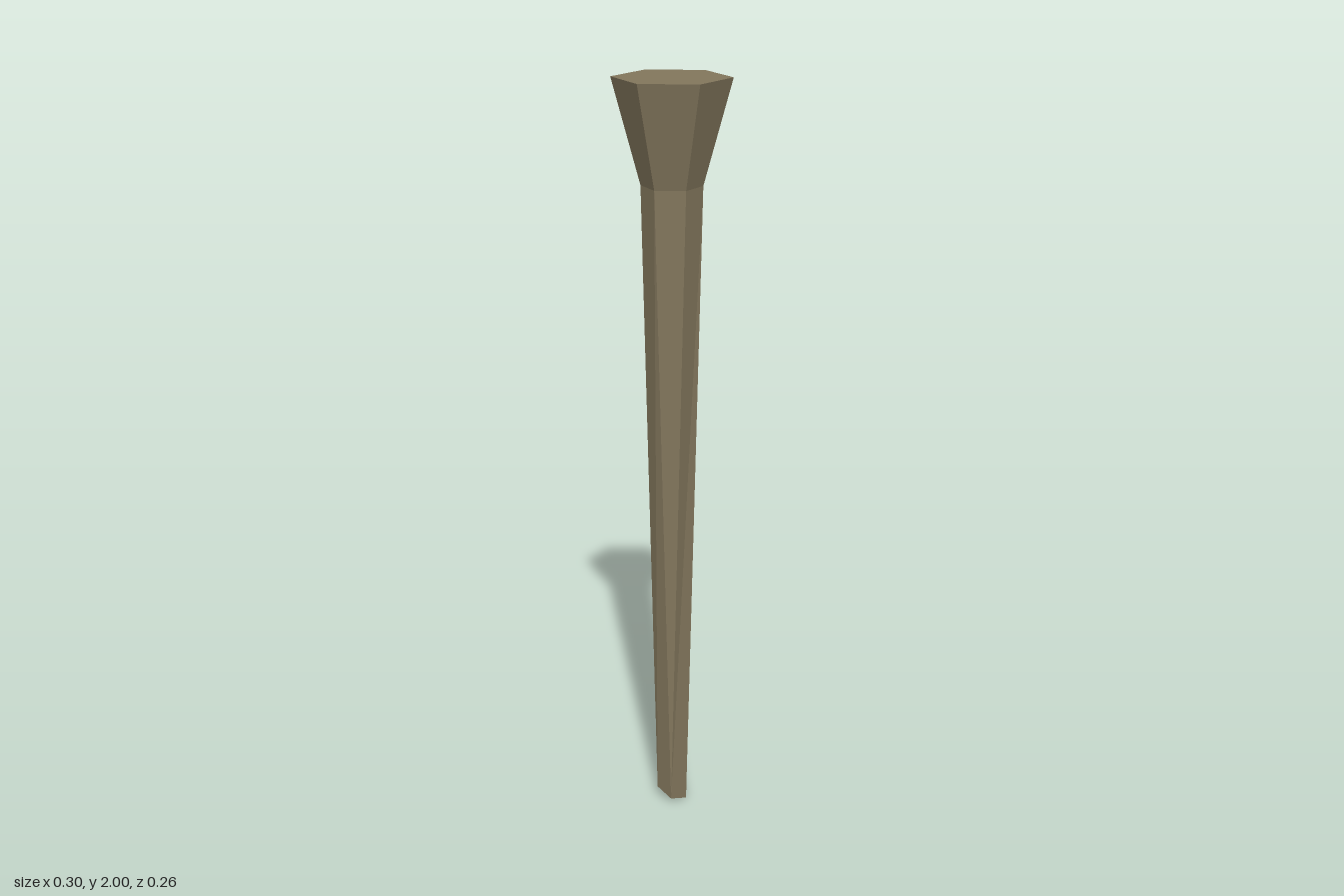
import * as THREE from 'three';

const NECK_Y = 1.735, TOP_Y = 2;
const NECK_R = 0.078, TOP_R = 0.15;

// Tapering shaft: six-sided neck blending into a slanted four-sided tip.
function shaftGeometry() {
  const neck = [];
  for (let k = 0; k < 6; k++) {
    const a = (k * Math.PI) / 3;
    neck.push([NECK_R * Math.cos(a), NECK_Y, -NECK_R * Math.sin(a)]);
  }
  const tip = [[0.04, 0, 0], [0, 0.016, -0.035], [-0.04, 0.033, 0], [0, 0.016, 0.035]];
  const points = [...neck, ...tip]; // 0-5 neck, 6-9 tip
  const faces = [
    7, 1, 0, 6, 7, 0, // back right
    7, 2, 1, // back
    7, 8, 2, 8, 3, 2, // back left
    8, 4, 3, 8, 9, 4, // front left
    9, 5, 4, // front
    9, 0, 5, 9, 6, 0, // front right
    6, 9, 8, 6, 8, 7, // tip end
  ];
  const indexed = new THREE.BufferGeometry();
  indexed.setAttribute('position', new THREE.Float32BufferAttribute(points.flat(), 3));
  indexed.setIndex(faces);
  const geometry = indexed.toNonIndexed();
  geometry.computeVertexNormals();
  return geometry;
}

// Flared six-sided head with a flat top.
function headGeometry() {
  const height = TOP_Y - NECK_Y;
  const geometry = new THREE.CylinderGeometry(TOP_R, NECK_R, height, 6, 1, false, Math.PI / 2)
    .toNonIndexed();
  geometry.translate(0, NECK_Y + height / 2, 0);
  geometry.computeVertexNormals();
  return geometry;
}

export function createModel() {
  const metal = new THREE.MeshStandardMaterial({ color: 0x82765c });
  metal.name = 'dull bronze';

  const model = new THREE.Group();
  model.name = 'spike';
  const add = (name, geometry) => {
    const mesh = new THREE.Mesh(geometry, metal);
    mesh.name = name;
    model.add(mesh);
  };
  add('shaft', shaftGeometry());
  add('head', headGeometry());
  return model;
}
